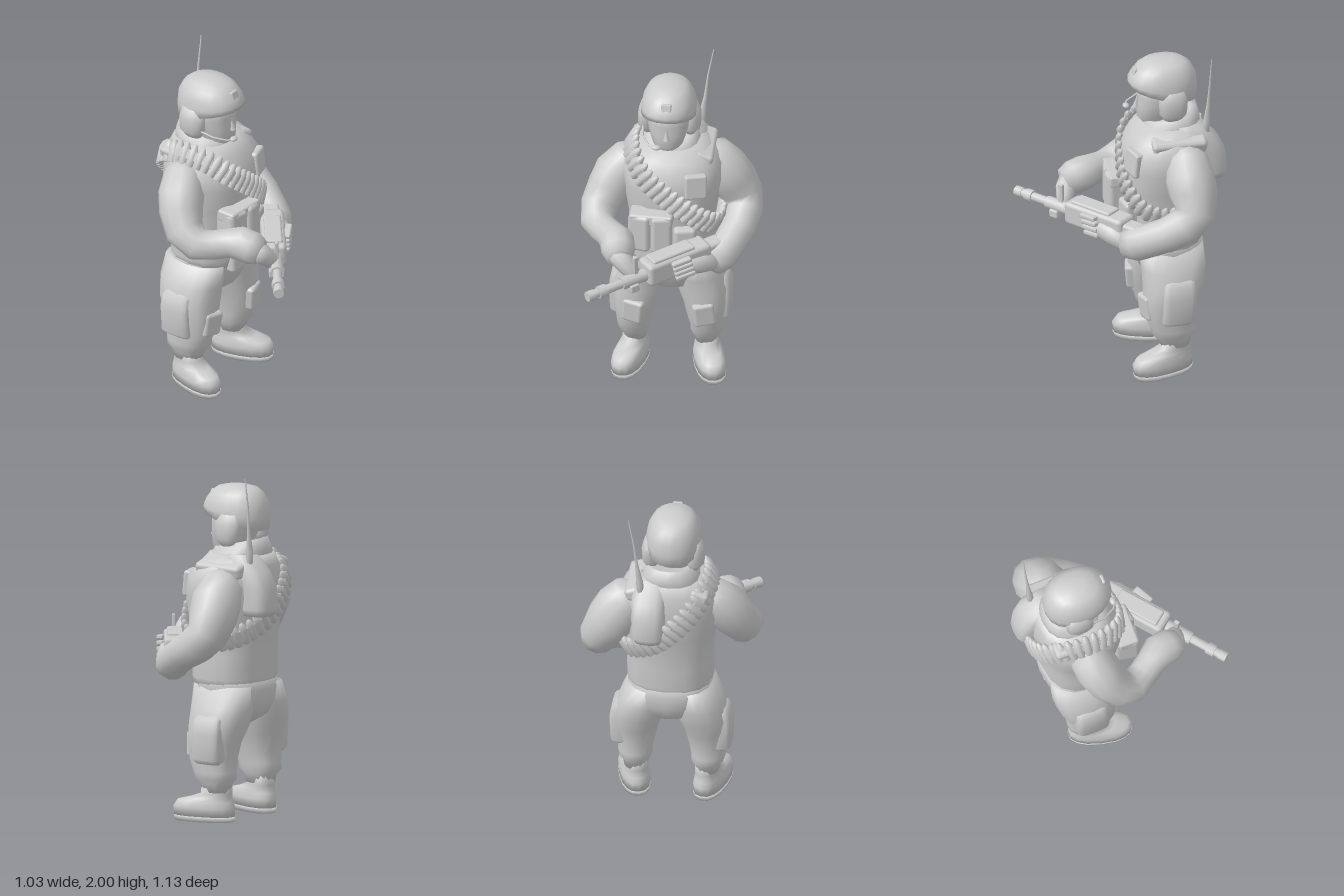
import * as THREE from 'three';
import { RoundedBoxGeometry } from 'three/addons/geometries/RoundedBoxGeometry.js';

const grey = new THREE.MeshStandardMaterial({ color: 0xcccccc });
grey.name = 'plain grey';
const V = (x, y, z) => new THREE.Vector3(x, y, z);

function add(parent, name, geometry, pos = [0, 0, 0], rot = [0, 0, 0]) {
  const m = new THREE.Mesh(geometry, grey);
  m.name = name;
  m.position.set(...pos);
  m.rotation.set(...rot);
  parent.add(m);
  return m;
}

// Skin rings of points with capped ends
function skin(rings) {
  const n = rings[0].length, pos = [], idx = [];
  rings.forEach(r => r.forEach(p => pos.push(p.x, p.y, p.z)));
  for (let i = 0; i < rings.length - 1; i++)
    for (let j = 0; j < n; j++) {
      const a = i * n + j, b = i * n + (j + 1) % n;
      idx.push(a, b, b + n, a, b + n, a + n);
    }
  [0, rings.length - 1].forEach((k, end) => {
    const c = rings[k].reduce((s, p) => s.add(p), V(0, 0, 0)).divideScalar(n);
    const ci = pos.length / 3;
    pos.push(c.x, c.y, c.z);
    for (let j = 0; j < n; j++) {
      const a = k * n + j, b = k * n + (j + 1) % n;
      if (end) idx.push(ci, a, b); else idx.push(ci, b, a);
    }
  });
  const g = new THREE.BufferGeometry();
  g.setAttribute('position', new THREE.Float32BufferAttribute(pos, 3));
  g.setIndex(idx);
  g.computeVertexNormals();
  return g;
}

// Level cross-sections from bottom to top: [x, y, z, halfWidth, halfDepth, frontLift]
function stack(sections, n = 16, power = 0.85) {
  const f = c => Math.sign(c) * Math.abs(c) ** power;
  return skin(sections.map(([x, y, z, rx, rz, lift = 0]) => Array.from({ length: n }, (_, j) => {
    const t = j / n * Math.PI * 2, c = f(Math.cos(t)), s = f(Math.sin(t));
    return V(x + rx * s, y + lift * c, z + rz * c);
  })));
}

// Round limb along a bent path: [x, y, z, radius]
function limb(points, n = 10) {
  const P = points.map(p => V(p[0], p[1], p[2]));
  let u = V(1, 0, 0);
  return skin(P.map((p, i) => {
    const T = P[Math.min(i + 1, P.length - 1)].clone().sub(P[Math.max(i - 1, 0)]).normalize();
    u = u.clone().addScaledVector(T, -u.dot(T)).normalize();
    const v = T.clone().cross(u), r = points[i][3];
    return Array.from({ length: n }, (_, j) => {
      const t = j / n * Math.PI * 2;
      return p.clone().addScaledVector(u, r * Math.cos(t)).addScaledVector(v, r * Math.sin(t));
    });
  }));
}

const box = (w, h, d, r = 0.015) => new RoundedBoxGeometry(w, h, d, 1, r);
const rod = (r, h, n = 8) => new THREE.CylinderGeometry(r, r, h, n);

export function createModel() {
  const root = new THREE.Group();
  root.name = 'soldier';

  // Body
  add(root, 'jacket', stack([
    [0, 0.76, -0.22, 0.235, 0.205], [0, 0.82, -0.215, 0.25, 0.217], [0, 0.95, -0.215, 0.25, 0.22],
    [0, 1.05, -0.215, 0.25, 0.225], [0, 1.16, -0.215, 0.265, 0.24], [0, 1.3, -0.22, 0.29, 0.255],
    [0, 1.4, -0.225, 0.285, 0.245], [0, 1.47, -0.245, 0.245, 0.21], [-0.01, 1.53, -0.255, 0.18, 0.175]]));
  add(root, 'collar', stack([
    [-0.01, 1.46, -0.25, 0.2, 0.18], [-0.01, 1.54, -0.255, 0.16, 0.17, -0.02],
    [-0.01, 1.59, -0.255, 0.135, 0.15, -0.035], [-0.01, 1.575, -0.25, 0.105, 0.12, -0.03]]));
  add(root, 'hips', stack([
    [0, 0.545, -0.235, 0.04, 0.08], [0, 0.6, -0.24, 0.15, 0.165], [0, 0.68, -0.24, 0.225, 0.195],
    [0, 0.76, -0.228, 0.245, 0.213], [0, 0.84, -0.215, 0.24, 0.205]]));

  // Legs, with pockets, knee pads and boots; the right foot stands a little wider
  for (const s of [1, -1]) {
    const side = s > 0 ? 'left' : 'right', o = s > 0 ? -0.01 : 0.01;
    const at = x => s * (x + o);
    add(root, side + 'Leg', stack([
      [at(0.205), 0.17, -0.235, 0.068, 0.085], [at(0.205), 0.22, -0.23, 0.078, 0.1],
      [at(0.207), 0.25, -0.23, 0.097, 0.127], [at(0.21), 0.29, -0.225, 0.1, 0.13],
      [at(0.205), 0.36, -0.21, 0.11, 0.145], [at(0.2), 0.46, -0.215, 0.127, 0.16],
      [at(0.183), 0.56, -0.235, 0.15, 0.178], [at(0.16), 0.66, -0.24, 0.14, 0.188],
      [at(0.13), 0.78, -0.23, 0.115, 0.19]]));
    add(root, side + 'ThighPocket', stack([
      [at(0.27), 0.34, -0.235, 0.045, 0.08], [at(0.28), 0.37, -0.24, 0.068, 0.1],
      [at(0.283), 0.52, -0.245, 0.07, 0.1], [at(0.275), 0.6, -0.245, 0.062, 0.095],
      [at(0.26), 0.625, -0.245, 0.045, 0.08]], 16, 0.5));
    add(root, side + 'KneePad', box(0.125, 0.15, 0.08, 0.02), [at(0.2), 0.43, -0.085], [0.08, s * 0.25, s * 0.1]);
    const boot = new THREE.Group();
    boot.name = side + 'Boot';
    boot.position.set(at(0.205), 0, -0.235);
    boot.rotation.y = s * 0.28;
    root.add(boot);
    add(boot, 'sole', stack([[0, 0, 0.075, 0.085, 0.18], [0, 0.03, 0.075, 0.088, 0.185]]));
    add(boot, 'upper', stack([
      [0, 0.03, 0.075, 0.086, 0.183], [0, 0.08, 0.077, 0.087, 0.185], [0, 0.115, 0.07, 0.08, 0.168],
      [0, 0.135, 0.035, 0.072, 0.125], [0, 0.16, 0.0, 0.066, 0.09], [0, 0.24, 0, 0.068, 0.09]]));
  }

  // Head, face and headset
  const cx = -0.02;
  add(root, 'head', stack([
    [cx, 1.46, -0.25, 0.1, 0.1], [cx, 1.53, -0.19, 0.07, 0.1], [cx, 1.56, -0.18, 0.09, 0.115],
    [cx, 1.64, -0.2, 0.115, 0.135], [cx, 1.7, -0.21, 0.125, 0.14], [cx, 1.8, -0.22, 0.125, 0.15]]));
  add(root, 'nose', new THREE.ConeGeometry(0.02, 0.08, 5), [cx, 1.66, -0.066], [-0.15, 0, 0]);
  for (const s of [1, -1])
    add(root, 'earCup', stack([
      [cx + s * 0.12, 1.575, -0.25, 0.03, 0.05], [cx + s * 0.13, 1.62, -0.25, 0.05, 0.08],
      [cx + s * 0.13, 1.7, -0.25, 0.05, 0.085], [cx + s * 0.12, 1.76, -0.25, 0.04, 0.07]], 10));
  add(root, 'microphoneBoom', limb([
    [-0.17, 1.64, -0.22, 0.006], [-0.16, 1.62, -0.1, 0.006], [-0.12, 1.605, -0.03, 0.006], [-0.08, 1.6, -0.01, 0.006]], 6));
  add(root, 'microphone', new THREE.SphereGeometry(0.02, 8, 6), [-0.075, 1.6, -0.015]).scale.set(1.4, 0.7, 1);

  // Helmet
  add(root, 'helmet', stack([
    [cx, 1.72, -0.22, 0.13, 0.16, 0.05], [cx, 1.715, -0.215, 0.158, 0.195, 0.05],
    [cx, 1.765, -0.215, 0.16, 0.202, 0.03], [cx, 1.82, -0.22, 0.15, 0.19, 0.01],
    [cx, 1.87, -0.22, 0.127, 0.16], [cx, 1.9, -0.22, 0.095, 0.12], [cx, 1.914, -0.22, 0.045, 0.06]], 18, 0.92));
  add(root, 'helmetMount', box(0.06, 0.09, 0.03, 0.01), [cx, 1.83, -0.05], [-0.3, 0, 0]);

  // Arms from shoulder to cuff
  add(root, 'rightArm', limb([
    [-0.18, 1.4, -0.25, 0.08], [-0.25, 1.365, -0.24, 0.115], [-0.315, 1.29, -0.21, 0.133], [-0.36, 1.2, -0.18, 0.125],
    [-0.405, 1.11, -0.12, 0.113], [-0.412, 1.06, -0.03, 0.097], [-0.365, 1.06, 0.05, 0.085],
    [-0.32, 1.075, 0.12, 0.085], [-0.28, 1.075, 0.18, 0.1], [-0.265, 1.06, 0.25, 0.098], [-0.255, 1.045, 0.305, 0.075]], 12));
  add(root, 'rightHand', limb([
    [-0.27, 1.05, 0.27, 0.06], [-0.23, 1.02, 0.3, 0.06], [-0.185, 0.97, 0.315, 0.05], [-0.16, 0.93, 0.32, 0.035]]));
  add(root, 'leftArm', limb([
    [0.17, 1.39, -0.29, 0.09], [0.225, 1.365, -0.3, 0.125], [0.285, 1.29, -0.305, 0.143], [0.335, 1.21, -0.315, 0.14],
    [0.39, 1.11, -0.315, 0.12], [0.405, 1.045, -0.25, 0.11], [0.385, 0.99, -0.15, 0.1],
    [0.335, 0.935, -0.05, 0.097], [0.29, 0.9, 0.01, 0.1], [0.25, 0.885, 0.06, 0.085]], 12));
  add(root, 'leftHand', limb([
    [0.25, 0.9, 0.06, 0.06], [0.19, 0.92, 0.12, 0.062], [0.13, 0.93, 0.17, 0.055], [0.09, 0.93, 0.2, 0.035]]));

  // Vest pouches
  add(root, 'vestPouch', box(0.13, 0.24, 0.14, 0.025), [-0.155, 1.07, 0.03], [0, -0.2, 0]);
  add(root, 'vestPouch', box(0.12, 0.24, 0.12, 0.025), [-0.04, 1.07, 0.05], [0, 0.15, 0]);
  add(root, 'pouchFlap', box(0.25, 0.07, 0.12), [-0.095, 1.16, 0.035], [0, -0.05, 0]);
  add(root, 'vestPouch', box(0.13, 0.2, 0.09, 0.025), [0.09, 0.98, 0.005], [0, 0.2, 0]);
  add(root, 'bellyPouch', box(0.16, 0.14, 0.07, 0.02), [-0.035, 0.805, -0.02]);
  add(root, 'chestPocket', box(0.13, 0.15, 0.05), [0.15, 1.35, -0.01], [-0.1, 0.3, 0]);
  for (const s of [1, -1])
    add(root, 'shoulderPad', box(0.11, 0.08, 0.32, 0.025), [s * 0.185, 1.46, -0.265], [0, 0, -s * 0.3]);

  // Radio pack and whip antenna
  add(root, 'radioPack', stack([
    [0.095, 1.2, -0.455, 0.085, 0.085], [0.095, 1.24, -0.465, 0.098, 0.095], [0.095, 1.36, -0.45, 0.098, 0.1],
    [0.1, 1.45, -0.4, 0.1, 0.11], [0.095, 1.54, -0.34, 0.08, 0.08]], 16, 0.7));
  add(root, 'antenna', limb([
    [0.145, 1.48, -0.43, 0.022], [0.15, 1.57, -0.435, 0.02], [0.165, 1.68, -0.44, 0.01],
    [0.18, 1.82, -0.447, 0.006], [0.212, 2.0, -0.45, 0.003]], 6));

  // Cartridge belt looped over the right shoulder
  const loop = new THREE.CatmullRomCurve3([
    [-0.21, 1.48, -0.1], [-0.15, 1.41, -0.01], [-0.02, 1.3, 0.03], [0.13, 1.18, 0.02], [0.24, 1.08, -0.06],
    [0.275, 1.05, -0.2], [0.23, 1.08, -0.38], [0.09, 1.16, -0.475], [-0.05, 1.29, -0.5],
    [-0.17, 1.42, -0.44], [-0.23, 1.5, -0.27]].map(p => V(...p)), true);
  const belt = new THREE.Group();
  belt.name = 'cartridgeBelt';
  root.add(belt);
  const shell = new THREE.LatheGeometry([[0, -0.065], [0.025, -0.065], [0.027, 0.025], [0.014, 0.06], [0, 0.07]]
    .map(p => new THREE.Vector2(...p)), 8);
  const link = box(0.055, 0.06, 0.03, 0.006);
  const count = 40;
  for (let i = 0; i < count; i++) {
    const p = loop.getPointAt(i / count), T = loop.getTangentAt(i / count);
    const out = V(p.x, (p.y - 1.28) * 0.6, p.z + 0.21);
    out.addScaledVector(T, -out.dot(T)).normalize();
    const basis = new THREE.Matrix4().makeBasis(T, out.clone().cross(T), out);
    for (const [name, g] of [['cartridge', shell], ['beltLink', link]])
      add(belt, name, g, p.toArray()).quaternion.setFromRotationMatrix(basis);
  }

  // Rifle, built along x from muzzle to stock
  const gun = new THREE.Group();
  gun.name = 'rifle';
  gun.position.set(-0.415, 0.93, 0.545);
  gun.rotation.set(0, 0.663, 0.03);
  root.add(gun);
  const along = [0, 0, Math.PI / 2];
  add(gun, 'muzzle', rod(0.031, 0.05), [0.025, 0, 0], along);
  add(gun, 'barrel', rod(0.027, 0.42), [0.22, 0, 0], along);
  add(gun, 'barrelCollar', rod(0.037, 0.05), [0.1, 0, 0], along);
  add(gun, 'handguard', rod(0.038, 0.2), [0.33, 0, 0], along);
  add(gun, 'frontSight', box(0.03, 0.13, 0.02, 0.005), [0.33, 0.08, 0]);
  add(gun, 'foregrip', box(0.06, 0.05, 0.09, 0.01), [0.3, -0.04, 0]);
  add(gun, 'receiver', box(0.42, 0.14, 0.14, 0.025), [0.6, 0.005, -0.01]);
  add(gun, 'topCover', box(0.28, 0.03, 0.1, 0.012), [0.57, 0.075, -0.01]);
  add(gun, 'stock', box(0.16, 0.1, 0.1, 0.02), [0.83, 0.0, -0.01]);
  for (let i = 0; i < 4; i++)
    add(gun, 'finger', box(0.12, 0.028, 0.04, 0.01), [0.59 + i * 0.008, 0.05 - i * 0.033, 0.075], [0, -0.15, 0.12]);
  return root;
}
